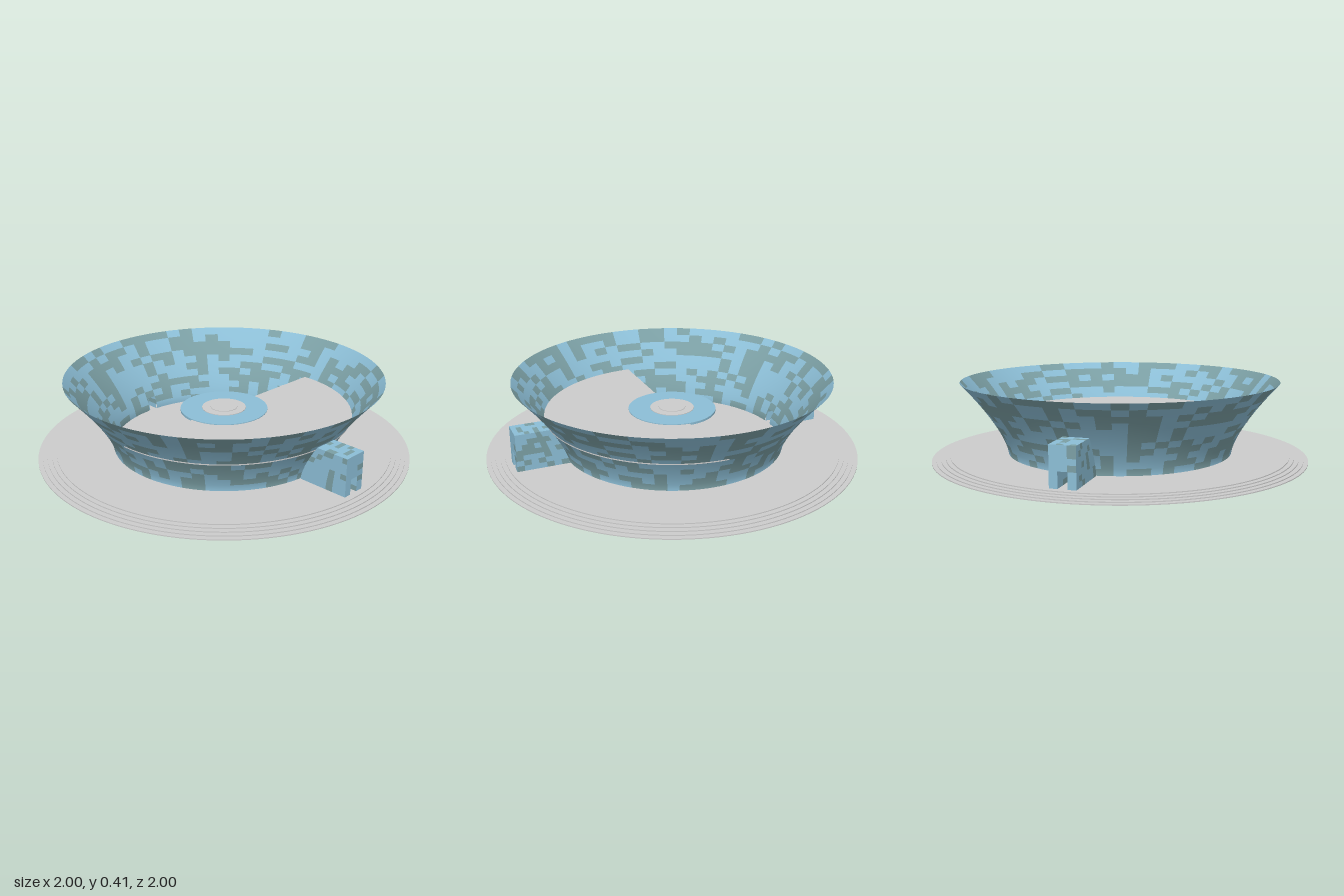
import * as THREE from 'three';

const GREY = 0xcccccc, BLUE = 0x8cbed6, TEAL = 0x7b9fa4;
const FLOOR = 0.025, RIM = 0.41, DECK = 0.21;

const material = (color, side = THREE.DoubleSide) => new THREE.MeshStandardMaterial({ color, side });

function addMesh(parent, name, geometry, color) {
  const mesh = new THREE.Mesh(geometry, material(color));
  mesh.name = name;
  parent.add(mesh);
  return mesh;
}

// Small seeded generator for the tile pattern
let seed = 7;
function random() {
  seed = (seed * 1664525 + 1013904223) % 4294967296;
  return seed / 4294967296;
}

// Radius of the flared wall at a given height
const wallRadius = (y) => 0.6 + 0.245 * Math.pow(Math.max(0, (y - FLOOR) / (RIM - FLOOR)), 1.45);

// Surface f(u, v) split into tiles of two colours, with smooth normals
function tiledSurface(name, f, cols, rows, sub = 1, skip = () => false, share = 0.5) {
  const group = new THREE.Group();
  group.name = name;
  const sets = [BLUE, TEAL].map((color) => ({ color, pos: [], nor: [] }));
  const e = 1e-3;
  const put = (set, u, v) => {
    const du = f(u + e, v).sub(f(u - e, v));
    const v1 = Math.min(1, v + e), v0 = Math.max(0, v - e);
    const dv = f(u, v1).sub(f(u, v0));
    set.pos.push(...f(u, v).toArray());
    set.nor.push(...du.cross(dv).normalize().toArray());
  };
  for (let r = 0; r < rows; r++) {
    for (let c = 0; c < cols; c++) {
      const set = sets[random() < share ? 0 : 1];
      if (skip(c, r)) continue;
      for (let s = 0; s < sub; s++) {
        const u0 = (c + s / sub) / cols, u1 = (c + (s + 1) / sub) / cols;
        const v0 = r / rows, v1 = (r + 1) / rows;
        for (const [u, v] of [[u0, v0], [u1, v0], [u1, v1], [u0, v0], [u1, v1], [u0, v1]]) put(set, u, v);
      }
    }
  }
  for (const { color, pos, nor } of sets) {
    if (!pos.length) continue;
    const g = new THREE.BufferGeometry();
    g.setAttribute('position', new THREE.Float32BufferAttribute(pos, 3));
    g.setAttribute('normal', new THREE.Float32BufferAttribute(nor, 3));
    addMesh(group, name + (color === BLUE ? 'BlueTiles' : 'TealTiles'), g, color);
  }
  return group;
}

// Tiled gatehouse on the +x side, its inner end following the wall
function gatehouse(name) {
  const group = new THREE.Group();
  group.name = name;
  const outer = 0.872, top = 0.225, w = 0.065, door = 0.024, doorTop = FLOOR + 0.08;
  const lerp = THREE.MathUtils.lerp;
  const along = (u, y, z) => new THREE.Vector3(lerp(wallRadius(y), outer, u), y, z);
  for (const s of [1, -1]) {
    group.add(tiledSurface('gateSide', (u, v) => along(s > 0 ? u : 1 - u, lerp(FLOOR, top, v), s * w), 7, 7, 1, undefined, 0.75));
    group.add(tiledSurface('passageSide', (u, v) => along(s > 0 ? 1 - u : u, lerp(FLOOR, doorTop, v), s * door), 4, 3, 1, undefined, 0.75));
  }
  group.add(tiledSurface('gateRoof', (u, v) => along(u, top, lerp(w, -w, v)), 7, 4, 1, undefined, 0.75));
  group.add(tiledSurface('passageCeiling', (u, v) => along(u, doorTop, lerp(-door, door, v)), 4, 1));
  // Outer face: jambs beside the door and the panel above it
  const face = (z0, z1, y0, y1, cols, rows) => group.add(tiledSurface('gateFront',
    (u, v) => new THREE.Vector3(outer, lerp(y0, y1, v), lerp(z0, z1, u)), cols, rows, 1, undefined, 0.75));
  face(w, door, FLOOR, doorTop, 1, 3);
  face(-door, -w, FLOOR, doorTop, 1, 3);
  face(w, -w, doorTop, top, 3, 4);
  return group;
}

export function createModel() {
  seed = 7;
  const model = new THREE.Group();
  model.name = 'arena';

  // Stepped round base with faint raised rings on its floor
  const steps = [];
  for (let i = 0; i < 5; i++) {
    const r = 1 - i * 0.024;
    steps.push([r, i * 0.005], [r, (i + 1) * 0.005]);
  }
  const base = [[0, 0], ...steps, [0, FLOOR]].map(([x, y]) => new THREE.Vector2(x, y));
  const baseGeometry = new THREE.LatheGeometry(base, 128).toNonIndexed();
  baseGeometry.computeVertexNormals();
  addMesh(model, 'steppedBase', baseGeometry, GREY);

  // Flared wall, open at the two gate doors
  const cols = 64, rows = 11;
  model.add(tiledSurface('flaredWall', (u, v) => {
    const y = FLOOR + v * (RIM - FLOOR), r = wallRadius(y);
    const a = (u - 0.5 / cols) * Math.PI * 2;
    return new THREE.Vector3(Math.cos(a) * r, y, -Math.sin(a) * r);
  }, cols, rows, 2, (c, r) => c % (cols / 2) === 0 && r < 2));

  // Gatehouses on both sides
  model.add(gatehouse('leftGatehouse'));
  const right = gatehouse('rightGatehouse');
  right.rotation.y = Math.PI;
  model.add(right);

  // Raised half deck on the +x side
  const half = new THREE.Shape();
  half.absarc(0, 0, wallRadius(DECK), -Math.PI / 2, Math.PI / 2, false);
  half.closePath();
  const deckGeometry = new THREE.ExtrudeGeometry(half, { depth: 0.006, bevelEnabled: false, curveSegments: 64 });
  deckGeometry.rotateX(-Math.PI / 2).translate(0, DECK - 0.006, 0);
  addMesh(model, 'halfDeck', deckGeometry, GREY);

  // Flat rings marked on the lower floor and on the deck
  for (const [name, y, start, length] of [['floorRing', FLOOR, 0, Math.PI * 2], ['deckRing', DECK, -Math.PI / 2, Math.PI]]) {
    const ring = new THREE.RingGeometry(0.465, 0.49, 96, 1, start, length);
    ring.rotateX(-Math.PI / 2).translate(0, y + 0.002, 0);
    addMesh(model, name, ring, GREY);
  }

  // Central round stage
  for (const [name, r, top, color] of [
    ['stageDisc', 0.235, 0.214, BLUE], ['stageCentre', 0.118, 0.217, GREY], ['stageHub', 0.072, 0.22, GREY]]) {
    const disc = new THREE.CylinderGeometry(r, r, top - 0.202, 64);
    addMesh(model, name, disc, color).position.y = (top + 0.202) / 2;
  }
  return model;
}
